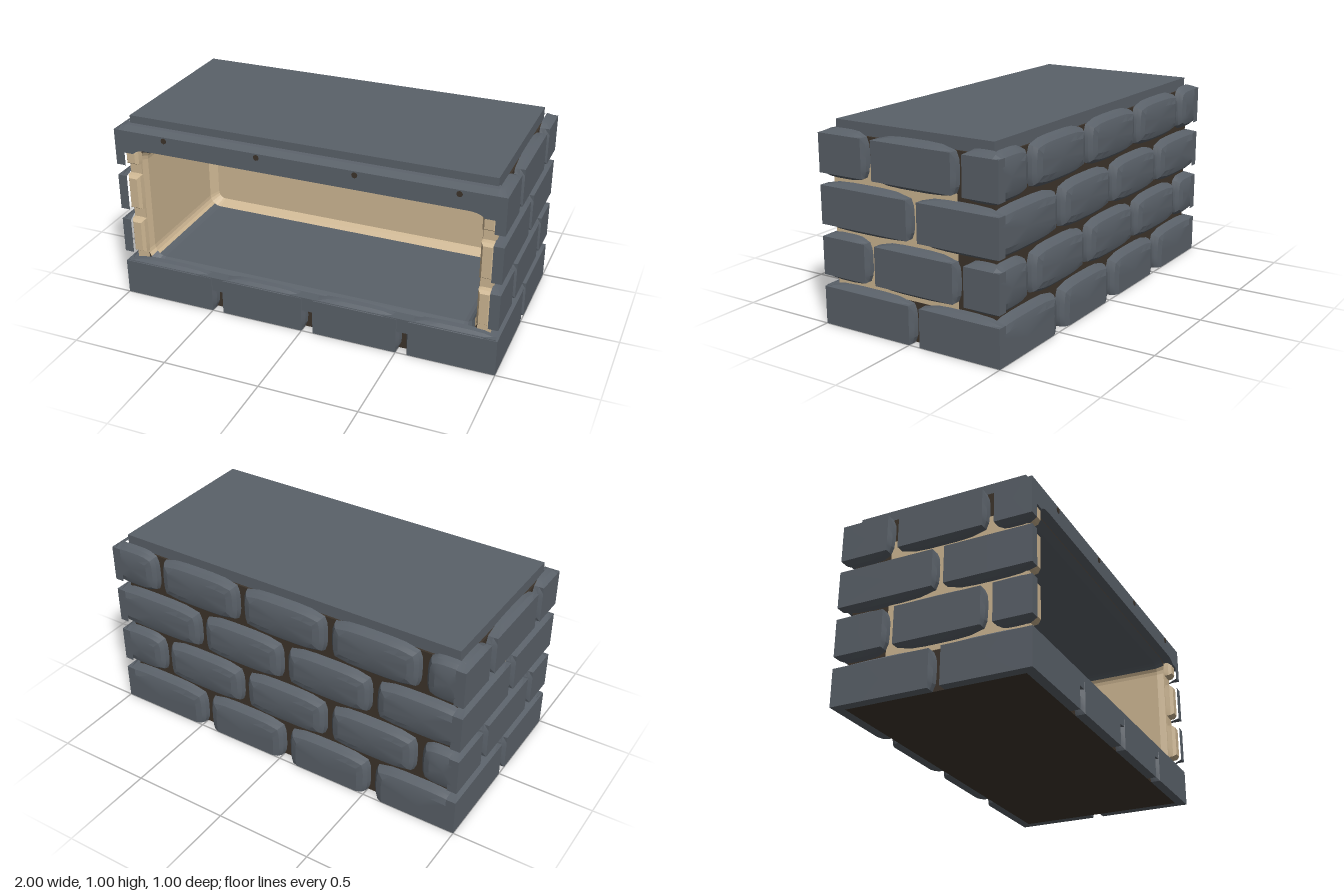
import * as THREE from 'three';
import { toCreasedNormals } from 'three/addons/utils/BufferGeometryUtils.js';

const material = (name, color) => new THREE.MeshStandardMaterial({ name, color });

// Skin a stack of equal-length loops and cap the last one.
// Quads for which isSecond(layer, a, b) holds use the second material.
function loft(loops, crease, isSecond) {
  const pos = [];
  const geo = new THREE.BufferGeometry();
  const tri = (a, b, c, m) => {
    if (isSecond) geo.addGroup(pos.length / 3, 3, m);
    [a, b, c].forEach(p => pos.push(p.x, p.y, p.z));
  };
  const n = loops[0].length;
  for (let l = 0; l + 1 < loops.length; l++) {
    for (let i = 0; i < n; i++) {
      const j = (i + 1) % n;
      const a = loops[l][i], b = loops[l][j], c = loops[l + 1][j], d = loops[l + 1][i];
      const m = isSecond && isSecond(l, a, b) ? 1 : 0;
      tri(a, b, c, m);
      tri(a, c, d, m);
    }
  }
  const last = loops[loops.length - 1];
  const mid = last.reduce((s, p) => s.add(p), new THREE.Vector3()).divideScalar(n);
  for (let i = 0; i < n; i++) tri(mid, last[i], last[(i + 1) % n], isSecond ? 1 : 0);
  geo.setAttribute('position', new THREE.Float32BufferAttribute(pos, 3));
  geo.computeVertexNormals();
  return crease ? toCreasedNormals(geo, crease) : geo;
}

// Brick layers: [depth, inset of the edges, outward bow of the edges]
const FLAT = [[0, 0, 0.024], [0.025, 0, 0.018], [0.05, 0, 0]];
const PILLOW = [[0, 0, 0.022], [0.022, 0.005, 0.018], [0.04, 0.018, 0.014], [0.05, 0.045, 0.008]];
const STUB = [[0, 0, 0.004], [0.025, 0.002, 0], [0.042, 0.014, 0]];

// Brick facing +z; edges on a block corner (|u| = half) or on the ground stay straight
function brickGeometry(u0, u1, v0, v1, half, base, layers) {
  const N = 6;
  const loops = layers.map(([depth, inset, bow]) => {
    const a = u0 <= -half ? u0 : u0 + inset, b = u1 >= half ? u1 : u1 - inset;
    const c = v0 <= 0 ? v0 : v0 + inset, d = v1 - inset;
    const loop = [];
    for (let side = 0; side < 4; side++) {
      for (let k = 0; k < N; k++) {
        const t = k / N, s = 2 * t - 1, o = bow * (1 - s * s * s * s);
        const [x, y] = [
          [a + (b - a) * t, c - o],
          [b + o * 0.7, c + (d - c) * t],
          [b + (a - b) * t, d + o],
          [a - o * 0.7, d + (c - d) * t],
        ][side];
        loop.push(new THREE.Vector3(THREE.MathUtils.clamp(x, -half, half), Math.max(0, y), base + depth));
      }
    }
    return loop;
  });
  return loft(loops, 0.3);
}

// Rounded rectangle loop, counter-clockwise seen from the front
function roundedLoop(w, y0, y1, r, z) {
  const pts = [];
  const corners = [[-w + r, y0 + r, 2], [w - r, y0 + r, 3], [w - r, y1 - r, 0], [-w + r, y1 - r, 1]];
  for (const [x, y, q] of corners) {
    for (let k = 0; k <= 5; k++) {
      const t = (q + k / 5) * Math.PI / 2;
      pts.push(new THREE.Vector3(x + r * Math.cos(t), y + r * Math.sin(t), z));
    }
  }
  return pts;
}

export function createModel() {
  const root = new THREE.Group();
  root.name = 'hollowBrickBlock';
  const slate = material('slate', 0x5a6169);
  const tan = material('tan', 0xcdb692);
  const mortar = material('mortar', 0x3d342b);

  const add = (name, geo, mat, parent = root) => {
    const mesh = new THREE.Mesh(geo, mat);
    mesh.name = name;
    parent.add(mesh);
    return mesh;
  };
  const box = (name, mat, x0, x1, y0, y1, z0, z1) =>
    add(name, new THREE.BoxGeometry(x1 - x0, y1 - y0, z1 - z0), mat)
      .position.set((x0 + x1) / 2, (y0 + y1) / 2, (z0 + z1) / 2);

  // Core: solid rear part and hollow front part
  box('rearCore', mortar, -0.95, 0.95, 0, 0.94, -0.45, -0.25);
  const shell = new THREE.Shape();
  shell.moveTo(-0.95, 0).lineTo(0.95, 0).lineTo(0.95, 0.94).lineTo(-0.95, 0.94);
  const tunnel = [
    roundedLoop(0.89, 0.185, 0.84, 0.07, 0.45),
    roundedLoop(0.875, 0.205, 0.82, 0.06, 0.41),
    roundedLoop(0.875, 0.205, 0.82, 0.06, -0.205),
    roundedLoop(0.84, 0.24, 0.785, 0.04, -0.245),
  ];
  shell.holes.push(new THREE.Path(tunnel[0].map(p => new THREE.Vector2(p.x, p.y)).reverse()));
  const shellGeo = new THREE.ExtrudeGeometry(shell, { depth: 0.7, bevelEnabled: false });
  add('frontCore', shellGeo.translate(0, 0, -0.25), mortar);

  // Cavity lining: slate floor and ceiling, tan sides and back
  const isTan = (l, a, b) => l === 2 || Math.abs(b.y - a.y) > Math.abs(b.x - a.x);
  add('cavityLining', loft(tunnel, 0, isTan), [slate, tan]);

  // Top slab
  box('topSlab', slate, -0.94, 0.94, 0.935, 1, -0.44, 0.44);

  // Brick courses; each wall is laid facing +z and turned into place
  const wall = (name, half, base, turn, layers, rows) => {
    const group = new THREE.Group();
    group.name = name;
    group.rotation.y = turn;
    root.add(group);
    for (let row = 0; row < rows; row++) {
      const v = row * 0.25;
      let start = -half;
      for (let gap = -1 + (row % 2) * 0.25; gap <= 1; gap += 0.5) {
        if (gap <= -half || gap >= half) continue;
        add('brick', brickGeometry(start, gap, v, v + 0.19, half, base, layers), slate, group);
        start = gap + 0.06;
      }
      add('brick', brickGeometry(start, half, v, v + 0.19, half, base, layers), slate, group);
    }
  };
  wall('rightWall', 0.5, 0.95, Math.PI / 2, FLAT, 4);
  wall('leftWall', 0.5, 0.95, -Math.PI / 2, FLAT, 4);
  wall('backWall', 1, 0.45, Math.PI, PILLOW, 4);
  wall('frontSill', 1, 0.45, 0, FLAT, 1);

  // Sill strip that closes the upper part of the front joints
  box('sillStrip', slate, -0.99, 0.99, 0.12, 0.195, 0.44, 0.497);

  // Lintel with rounded lower corners and a sloped top
  const lintel = new THREE.Shape();
  lintel.moveTo(-1, 0.82).lineTo(-0.9, 0.82).quadraticCurveTo(-0.88, 0.845, -0.82, 0.845);
  lintel.lineTo(0.82, 0.845).quadraticCurveTo(0.88, 0.845, 0.9, 0.82).lineTo(1, 0.82);
  lintel.lineTo(1, 0.94).lineTo(-1, 0.94);
  const lintelGeo = new THREE.ExtrudeGeometry(lintel, { depth: 0.06, bevelEnabled: false });
  add('lintel', lintelGeo.translate(0, 0, 0.44), slate);
  const slope = new THREE.Shape();
  slope.moveTo(0.43, 0.93).lineTo(0.5, 0.94).lineTo(0.46, 0.957).lineTo(0.43, 0.962);
  const slopeGeo = new THREE.ExtrudeGeometry(slope, { depth: 1.92, bevelEnabled: false });
  add('lintelSlope', slopeGeo.rotateY(-Math.PI / 2).translate(0.96, 0, 0), slate);
  for (const x of [-0.72, -0.22, 0.28, 0.78]) {
    add('jointHole', new THREE.CylinderGeometry(0.015, 0.015, 0.006, 8).rotateX(Math.PI / 2), mortar)
      .position.set(x, 0.92, 0.499);
  }

  // Tan side walls: outer plates, front edges and brick ends
  for (const s of [-1, 1]) {
    const span = (a, b) => (s > 0 ? [a, b] : [-b, -a]);
    box('sidePlate', tan, ...span(0.947, 0.954), 0.2, 0.815, -0.25, 0.452);
    box('sideFrontEdge', tan, ...span(0.888, 0.953), 0.19, 0.83, 0.445, 0.454);
    for (const [v0, v1] of [[0.25, 0.44], [0.5, 0.69], [0.75, 0.83]]) {
      add('brickEnd', brickGeometry(...span(0.885, 0.957), v0, v1, 1, 0.45, STUB), tan);
    }
  }
  return root;
}
